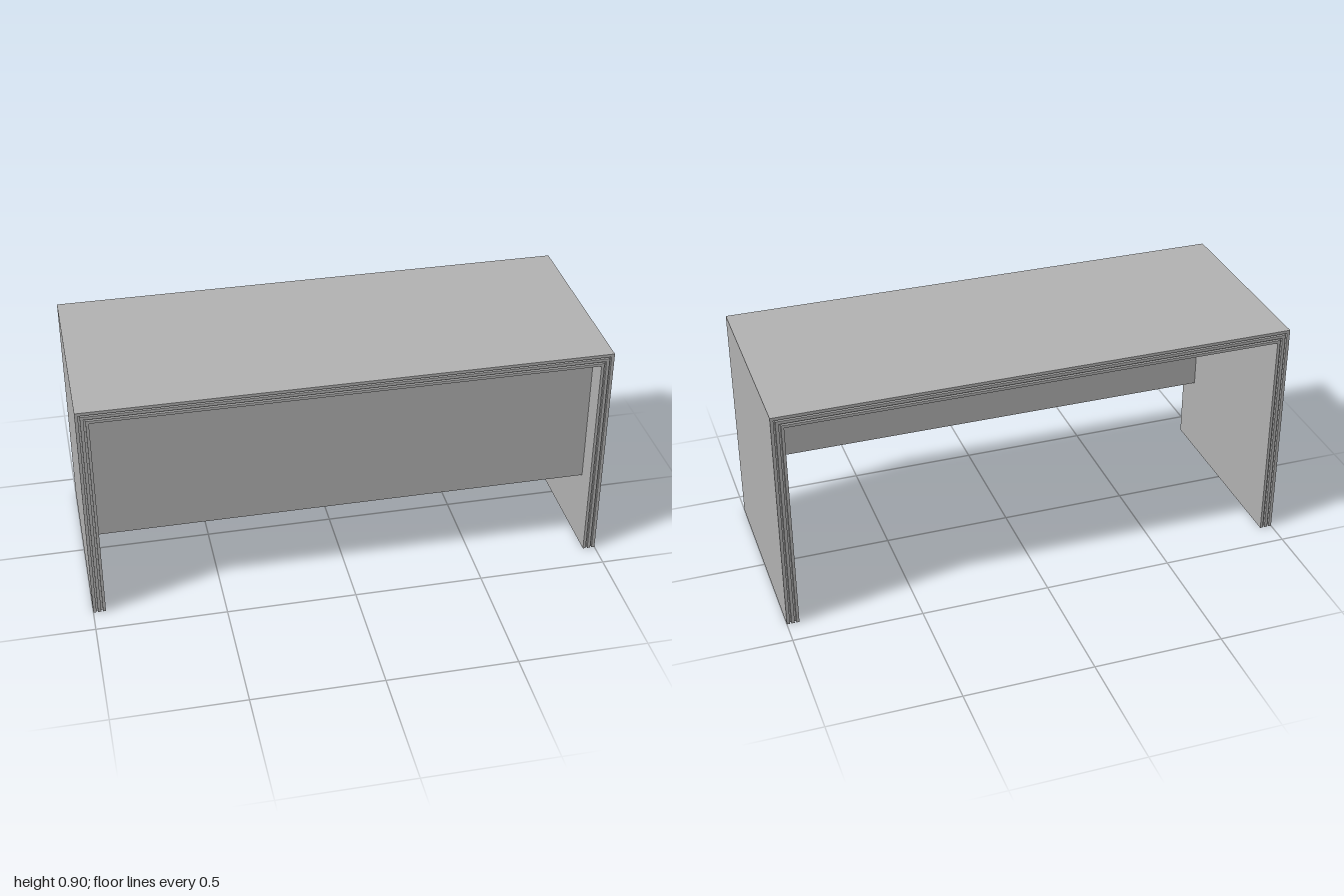
import * as THREE from 'three';

const WIDTH = 2, HEIGHT = 0.9, DEPTH = 0.8;

// Upside-down U frame lying between two insets from the outer outline
function frame(outer, inner, depth, material, name) {
  const xo = WIDTH / 2 - outer, yo = HEIGHT - outer;
  const xi = WIDTH / 2 - inner, yi = HEIGHT - inner;
  const shape = new THREE.Shape([
    [-xo, 0], [-xi, 0], [-xi, yi], [xi, yi], [xi, 0], [xo, 0], [xo, yo], [-xo, yo],
  ].map(([x, y]) => new THREE.Vector2(x, y)));
  const geometry = new THREE.ExtrudeGeometry(shape, { depth, bevelEnabled: false });
  geometry.translate(0, 0, -depth / 2);
  const mesh = new THREE.Mesh(geometry, material);
  mesh.name = name;
  return mesh;
}

export function createModel() {
  const desk = new THREE.Group();
  desk.name = 'desk';
  const gray = new THREE.MeshStandardMaterial({ color: 0xb2b2b2 });
  gray.name = 'gray';

  // Top and side panels as nested layers, with recessed grooves along the edges
  const grooveDepth = DEPTH - 0.02;
  desk.add(
    frame(0, 0.012, DEPTH, gray, 'outerLayer'),
    frame(0.012, 0.018, grooveDepth, gray, 'outerGroove'),
    frame(0.018, 0.03, DEPTH, gray, 'middleLayer'),
    frame(0.03, 0.037, grooveDepth, gray, 'innerGroove'),
    frame(0.037, 0.048, DEPTH, gray, 'innerLayer'),
  );

  // Modesty panel set back from the front edge
  const panel = new THREE.Mesh(new THREE.BoxGeometry(1.904, 0.552, 0.024), gray);
  panel.name = 'modestyPanel';
  panel.position.set(0, 0.576, 0.302);
  desk.add(panel);

  return desk;
}
